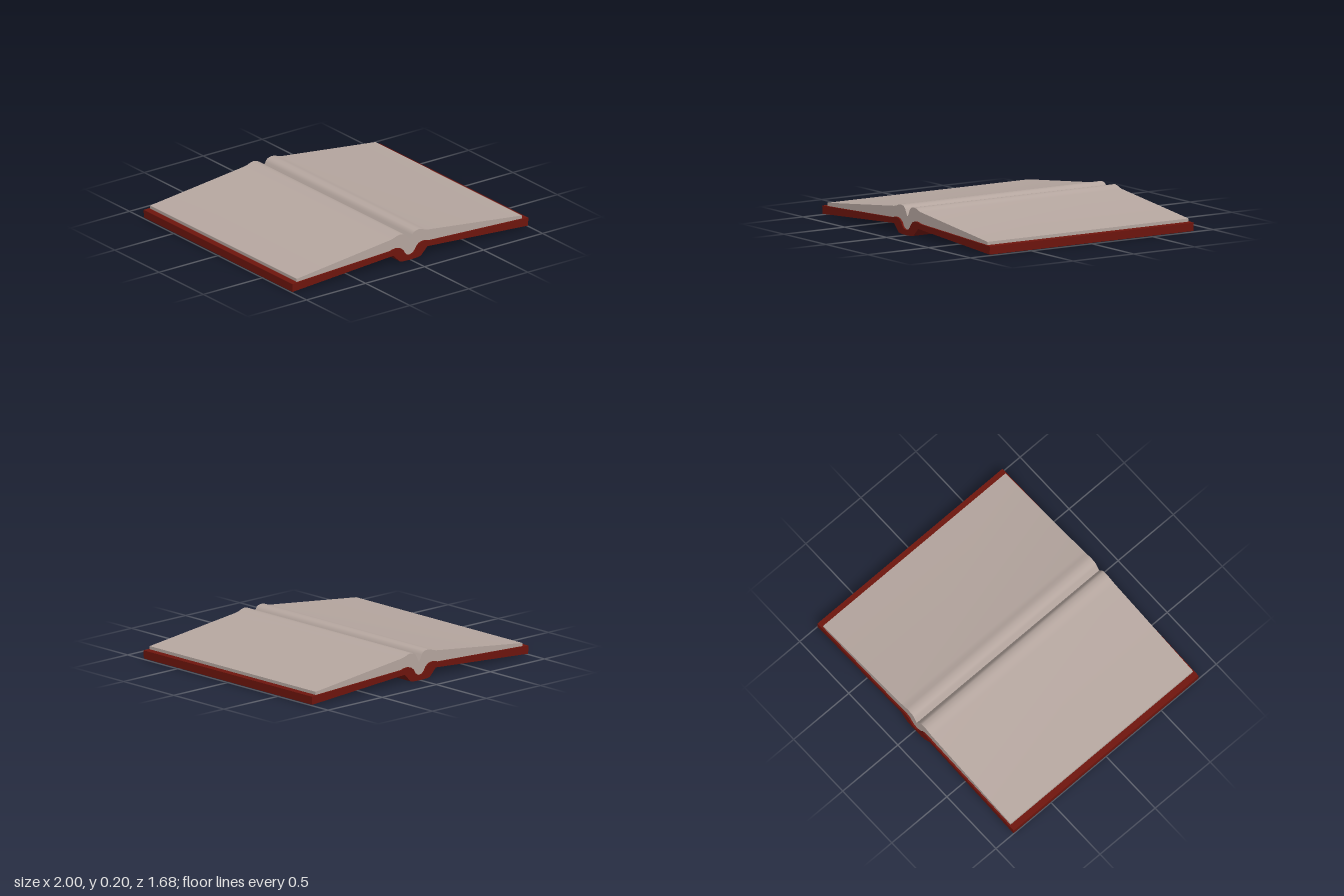
import * as THREE from 'three';
import { toCreasedNormals } from 'three/addons/utils/BufferGeometryUtils.js';

// Upper face of the cover, from the gutter out to the fore edge
const coverTop = [
  [0, 0.035], [0.025, 0.041], [0.042, 0.056], [0.058, 0.082], [0.078, 0.1],
  [0.1, 0.107], [0.12, 0.109], [0.145, 0.106], [0.17, 0.099], [1, 0.063],
];
// Lower face of the cover, from the fore edge back to the spine
const coverBottom = [[0.998, 0.006], [0.145, 0.063], [0.088, 0.007], [0.06, 0.002], [0, 0]];

// Upper face of the pages, from the gutter out to the fore edge
const pageTop = [
  [0, 0.125], [0.012, 0.145], [0.024, 0.17], [0.036, 0.187], [0.052, 0.195],
  [0.08, 0.199], [0.105, 0.195], [0.13, 0.185], [0.16, 0.178], [0.955, 0.087],
];
// The pages rest on the cover
const pageBottom = [[0.955, 0.065], ...coverTop.slice(0, -1).reverse()];

// Mirrors a half outline (top centre to bottom centre) and extrudes it along z
function sweepProfile(name, half, depth, color) {
  const left = half.slice(1, -1).reverse().map(([x, y]) => [-x, y]);
  const outline = [...half, ...left].map(([x, y]) => new THREE.Vector2(x, y));
  const geometry = new THREE.ExtrudeGeometry(new THREE.Shape(outline), { depth, bevelEnabled: false });
  geometry.translate(0, 0, -depth / 2);
  const mesh = new THREE.Mesh(
    toCreasedNormals(geometry, Math.PI / 5.5),
    new THREE.MeshStandardMaterial({ color }),
  );
  mesh.name = name;
  return mesh;
}

export function createModel() {
  const book = new THREE.Group();
  book.name = 'openBook';
  book.add(
    sweepProfile('cover', [...coverTop, ...coverBottom], 1.68, 0x6e150d),
    sweepProfile('pages', [...pageTop, ...pageBottom], 1.656, 0xb5a69f),
  );
  return book;
}
